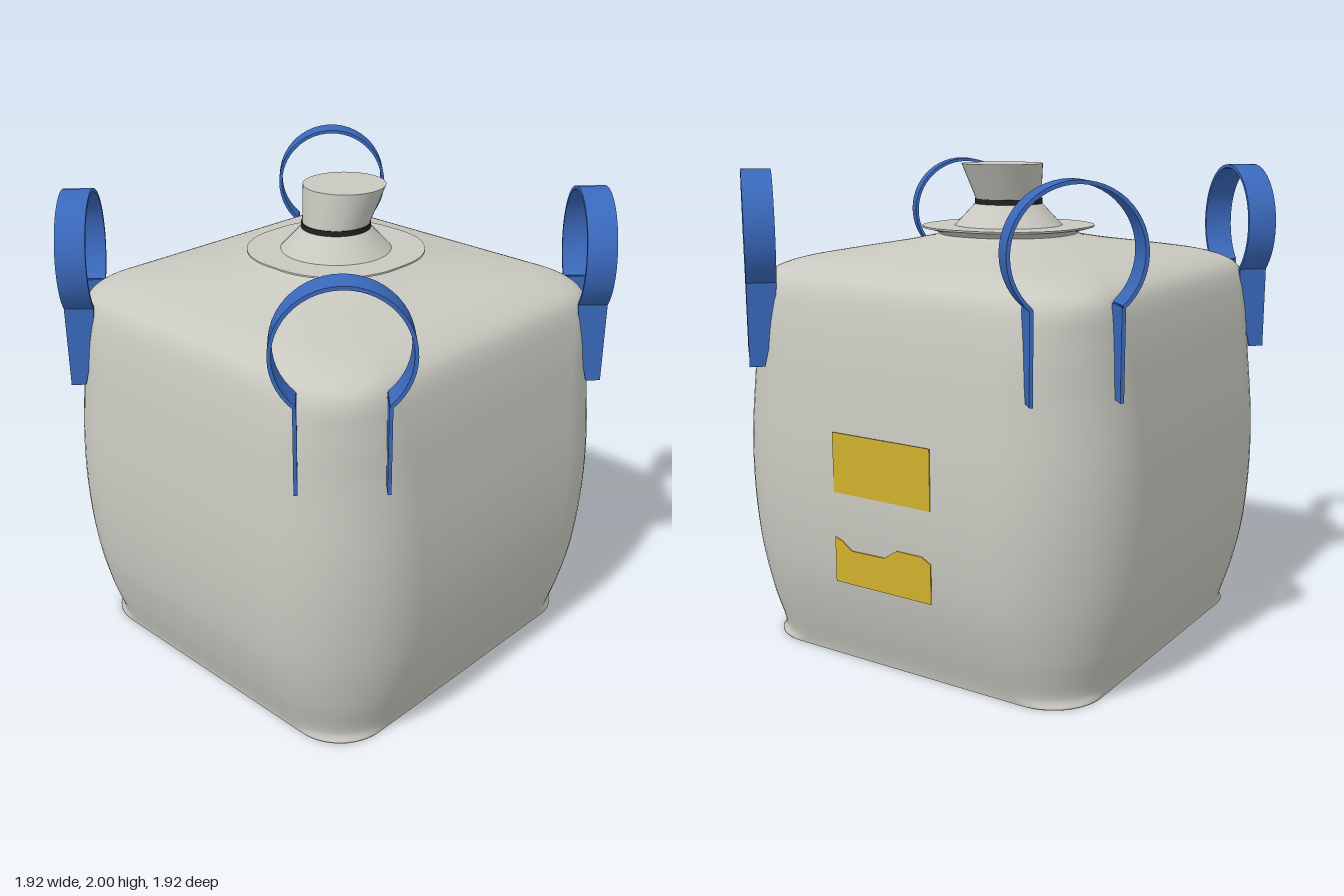
import * as THREE from 'three';
import { toCreasedNormals } from 'three/addons/utils/BufferGeometryUtils.js';

const mat = (name, color, side = THREE.FrontSide) => {
  const m = new THREE.MeshStandardMaterial({ color, side });
  m.name = name;
  return m;
};

// Rounded-square ring: half width h, corner radius c, at height y
function ring(h, y, c, steps = 14) {
  const pts = [];
  for (let q = 0; q < 4; q++) {
    const mid = Math.PI / 4 + q * Math.PI / 2;
    const cx = Math.sign(Math.cos(mid)) * (h - c), cz = Math.sign(Math.sin(mid)) * (h - c);
    for (let i = 0; i <= steps; i++) {
      const a = (q + i / steps) * Math.PI / 2;
      pts.push([cx + c * Math.cos(a), y, cz + c * Math.sin(a)]);
    }
  }
  return pts;
}

// Skin over equal-length closed rings, listed from bottom to top
function loft(rings, capped = false) {
  const n = rings[0].length, index = [];
  for (let j = 0; j < rings.length - 1; j++) {
    for (let i = 0; i < n; i++) {
      const a = j * n + i, b = j * n + (i + 1) % n;
      index.push(a, a + n, b, b, a + n, b + n);
    }
  }
  if (capped) {
    const t = (rings.length - 1) * n;
    for (let i = 1; i < n - 1; i++) {
      index.push(0, i, i + 1);
      index.push(t, t + i + 1, t + i);
    }
  }
  const g = new THREE.BufferGeometry();
  g.setAttribute('position', new THREE.Float32BufferAttribute(rings.flat(2), 3));
  g.setIndex(index);
  g.computeVertexNormals();
  return g;
}

export function createModel() {
  const model = new THREE.Group();
  const fabric = mat('grey fabric', 0xc8c8c0, THREE.DoubleSide);
  const blue = mat('blue webbing', 0x3a69bc);
  const yellow = mat('yellow label', 0xd0b02e);
  const black = mat('black tie', 0x222222);
  const add = (name, geometry, material, parent = model) => {
    const m = new THREE.Mesh(geometry, material);
    m.name = name;
    parent.add(m);
    return m;
  };

  // Bulging sack: half width, height, corner radius
  const profile = [
    [0.78, 0, 0.22], [0.79, 0.04, 0.29], [0.842, 0.2, 0.36], [0.888, 0.4, 0.42],
    [0.908, 0.65, 0.435], [0.903, 0.9, 0.42], [0.873, 1.2, 0.38], [0.845, 1.4, 0.32],
    [0.81, 1.53, 0.25], [0.775, 1.575, 0.23], [0.7, 1.613, 0.22], [0.56, 1.645, 0.24],
    [0.4, 1.675, 0.27], [0.31, 1.697, 0.28],
  ].map(p => new THREE.Vector3(...p));
  const rows = new THREE.CatmullRomCurve3(profile).getPoints(78);
  add('sackBody', loft(rows.map(p => ring(p.x, p.y, p.z))), fabric);
  add('sackBase', loft([ring(0.78, 0, 0.22), ring(0.78, 0.002, 0.22)], true), fabric);

  // Gathered collar with a flat top
  const collar = [[0.31, 1.697, 0.28], [0.285, 1.708, 0.265], [0.295, 1.72, 0.27],
    [0.35, 1.735, 0.31], [0.35, 1.742, 0.31]].map(p => ring(...p));
  add('collar', toCreasedNormals(loft(collar, true), 0.7), fabric);

  // Filling spout: cone, tie and leaning mouth
  add('spoutCone', new THREE.CylinderGeometry(0.14, 0.235, 0.1, 48, 1, true), fabric).position.y = 1.785;
  add('spoutTie', new THREE.CylinderGeometry(0.143, 0.143, 0.022, 48), black).position.y = 1.842;
  const mouth = new THREE.CylinderGeometry(0.17, 0.138, 0.15, 48);
  mouth.applyMatrix4(new THREE.Matrix4().set(1, 0.05 / 0.15, 0, 0.025, 0, 1, 0, 0, 0, 0, 1, 0, 0, 0, 0, 1));
  add('spoutMouth', mouth, fabric).position.y = 1.925;

  // Lifting loop: path in its own plane as [t, y, normal t, normal y, inner depth]
  const legT = 0.165, R = 0.247, cy = 1.731, inner = 0.986, outer = 1.106, thick = 0.007;
  const start = Math.acos(legT / R);
  const leg = [];
  for (let i = 0; i <= 6; i++) {
    const s = i / 6;
    leg.push([legT, 1.205 + s * (cy - R * Math.sin(start) - 1.205), 1, 0, inner + 0.059 * Math.pow(1 - s, 1.5)]);
  }
  const arc = [];
  for (let i = 0; i <= 40; i++) {
    const a = -start + (Math.PI + 2 * start) * i / 40;
    arc.push([R * Math.cos(a), cy + R * Math.sin(a), Math.cos(a), Math.sin(a), inner]);
  }
  const mirrored = leg.map(([t, y, nt, ny, d]) => [-t, y, -nt, ny, d]).reverse();
  const band = path => toCreasedNormals(loft(path.map(([t, y, nt, ny, d]) => {
    const o = [t + nt * thick, y + ny * thick], k = [t - nt * thick, y - ny * thick];
    return [[...o, d], [...k, d], [...k, outer], [...o, outer]];
  }).reverse(), true), 0.6);
  const parts = { loopLegLeft: band(leg), loopArc: band(arc), loopLegRight: band(mirrored) };
  // Outward faces depend on the path direction, so check the signed volume once
  for (const g of Object.values(parts)) {
    const p = g.attributes.position, a = new THREE.Vector3(), b = a.clone(), c = a.clone();
    let volume = 0;
    for (let i = 0; i < p.count; i += 3) {
      a.fromBufferAttribute(p, i); b.fromBufferAttribute(p, i + 1); c.fromBufferAttribute(p, i + 2);
      volume += a.dot(b.cross(c));
    }
    if (volume < 0) {
      for (let i = 0; i < p.count; i += 3) {
        b.fromBufferAttribute(p, i + 1); c.fromBufferAttribute(p, i + 2);
        p.setXYZ(i + 1, c.x, c.y, c.z); p.setXYZ(i + 2, b.x, b.y, b.z);
      }
      g.deleteAttribute('normal');
      g.copy(toCreasedNormals(g, 0.6));
    }
  }
  for (let k = 0; k < 4; k++) {
    const loop = new THREE.Group();
    loop.name = 'liftingLoop' + (k + 1);
    loop.rotation.y = Math.PI / 4 + k * Math.PI / 2;
    for (const [name, g] of Object.entries(parts)) add(name, g, blue, loop);
    model.add(loop);
  }

  // Label plates on the +x side, outlined as [-z, y]
  const plate = (name, outline) => {
    const g = new THREE.ExtrudeGeometry(new THREE.Shape(outline.map(p => new THREE.Vector2(...p))),
      { depth: 0.004, bevelEnabled: false });
    g.rotateY(Math.PI / 2);
    add(name, g, yellow).position.x = 0.907;
  };
  plate('upperLabel', [[-0.232, 0.755], [0.232, 0.755], [0.232, 0.997], [-0.232, 0.997]]);
  plate('lowerLabel', [[-0.232, 0.385], [0.232, 0.385], [0.232, 0.545], [0.19, 0.568], [0.07, 0.568],
    [0.04, 0.548], [0.01, 0.528], [-0.15, 0.525], [-0.2, 0.56], [-0.232, 0.57]]);

  return model;
}
